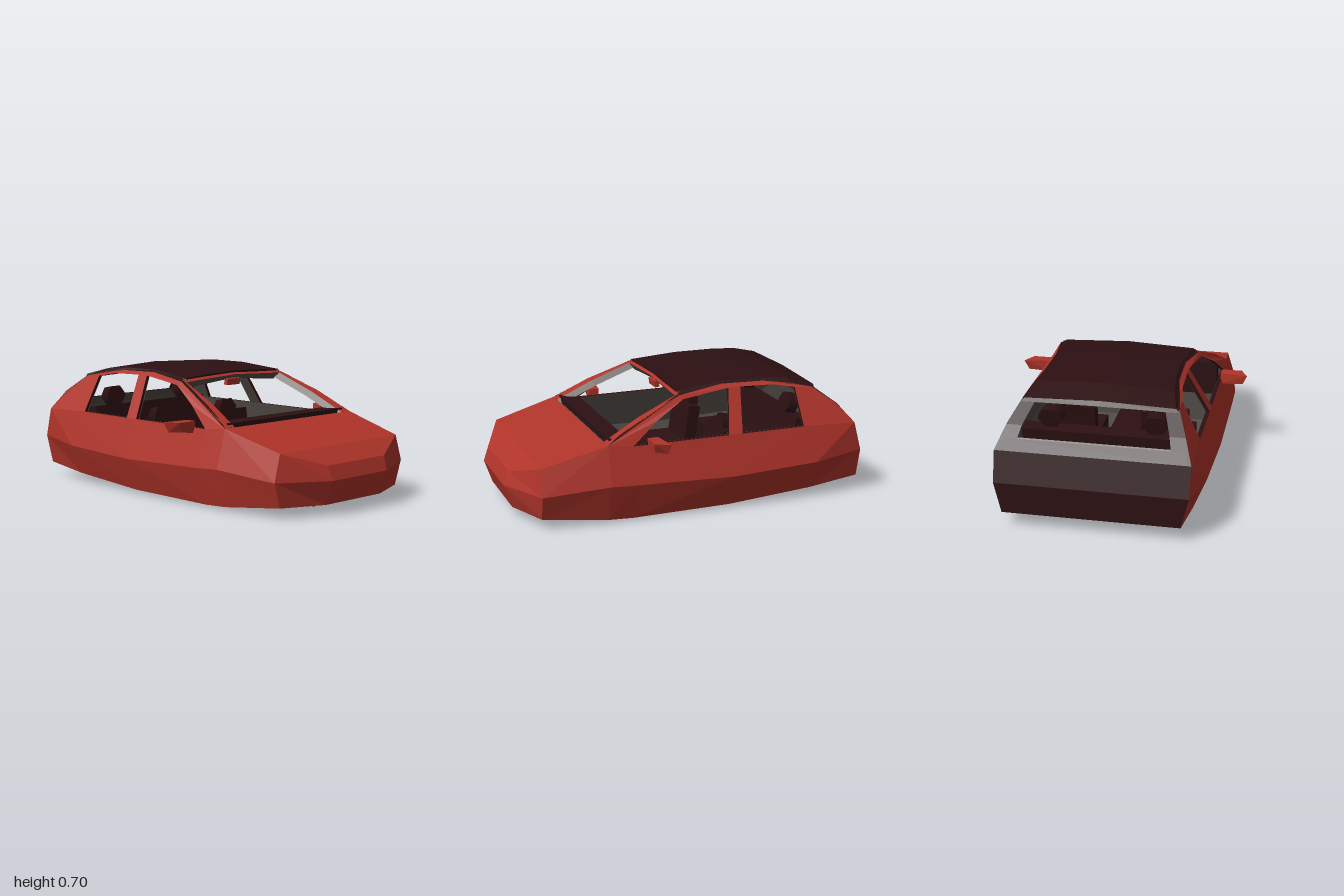
import * as THREE from 'three';
import { ConvexGeometry } from 'three/addons/geometries/ConvexGeometry.js';

const material = (name, color) => {
  const m = new THREE.MeshStandardMaterial({ color, side: THREE.DoubleSide });
  m.name = name;
  return m;
};

// Flat-shaded skin through rows of points; faces point along rows x columns.
function grid(rows) {
  const p = [];
  for (let i = 0; i + 1 < rows.length; i++) {
    for (let j = 0; j + 1 < rows[i].length; j++) {
      const a = rows[i][j], b = rows[i + 1][j], c = rows[i + 1][j + 1], d = rows[i][j + 1];
      p.push(...a, ...b, ...c, ...a, ...c, ...d);
    }
  }
  const g = new THREE.BufferGeometry();
  g.setAttribute('position', new THREE.Float32BufferAttribute(p, 3));
  g.computeVertexNormals();
  return g;
}

// Symmetric row of points, given [x, y, z] from the outside inwards.
const sym = (...pts) => [
  ...pts.map(([x, y, z]) => [-x, y, z]),
  ...pts.filter(p => p[0] > 0).reverse(),
];

// Copy mirrored to the other side, with its triangles turned round.
function mirrored(geo) {
  const g = geo.index ? geo.toNonIndexed() : geo.clone();
  g.scale(-1, 1, 1);
  const index = [];
  for (let i = 0; i < g.attributes.position.count; i += 3) index.push(i, i + 2, i + 1);
  g.setIndex(index);
  return g;
}

// Half width of the body at a height above the crease.
const WIDTH = [[0.2, 0.565], [0.42, 0.51], [0.54, 0.46], [0.64, 0.4], [0.68, 0.35]];
function halfWidth(y) {
  for (let i = 1; i < WIDTH.length; i++) {
    const [y0, x0] = WIDTH[i - 1], [y1, x1] = WIDTH[i];
    if (y <= y1 || i === WIDTH.length - 1) return x0 + (x1 - x0) * (y - y0) / (y1 - y0);
  }
}

export function createModel() {
  const car = new THREE.Group();
  car.name = 'car';
  const red = material('body red', 0xb0342a);
  const dark = material('dark maroon', 0x2c1012);
  const grey = material('lining grey', 0x544d47);

  const add = (name, geo, mat) => {
    const m = new THREE.Mesh(geo, mat);
    m.name = name;
    car.add(m);
    return m;
  };
  const pair = (name, geo, mat) => {
    add('left' + name, geo, mat);
    add('right' + name, mirrored(geo), mat);
  };
  const box = (w, h, d, x, y, z, tilt = 0) =>
    new THREE.BoxGeometry(w, h, d).rotateX(tilt).translate(x, y, z);

  // Lower body: sill, crease and belt at stations from front to rear
  const stations = [
    [[0.47, 0.06, 0.86], [0.515, 0.195, 0.865], [0.47, 0.34, 0.86]],
    [[0.5, 0.02, 0.5], [0.56, 0.225, 0.5], [0.503, 0.435, 0.5]],
    [[0.5, 0.013, 0.36], [0.563, 0.218, 0.36], [0.512, 0.41, 0.36]],
    [[0.5, 0.018, -0.2], [0.568, 0.2, -0.2], [0.512, 0.41, -0.2]],
    [[0.49, 0.05, -0.7], [0.56, 0.22, -0.7], [0.512, 0.41, -0.7]],
    [[0.47, 0.08, -1], [0.51, 0.245, -1], [0.512, 0.41, -0.955]],
  ];
  pair('LowerSide', grid(stations), red);
  pair('DoorLining', grid(stations.slice(1).map(s =>
    s.map(([x, y, z]) => [x - 0.02, y, Math.max(z, -0.985)]))), grey);

  // Bonnet and faceted nose
  add('bonnetAndNose', grid([
    sym([0.503, 0.435, 0.5], [0.22, 0.435, 0.5]),
    sym([0.47, 0.34, 0.86], [0.22, 0.34, 0.86]),
    sym([0.47, 0.34, 0.86], [0.23, 0.265, 0.97]),
    sym([0.515, 0.195, 0.865], [0.22, 0.188, 1]),
    sym([0.47, 0.06, 0.86], [0.22, 0.057, 0.955]),
  ]), red);

  // Floor pan
  add('floorPan', grid([
    sym([0.22, 0.057, 0.955]),
    ...stations.map(s => sym(s[0])),
  ]), grey);

  // Cabin sides with door window openings
  const path = pts => pts.map(([z, y]) => new THREE.Vector2(z, y));
  const side = new THREE.Shape(path([
    [0.36, 0.41], [0.5, 0.435], [0.3, 0.54], [0.06, 0.64], [-0.2, 0.67],
    [-0.45, 0.665], [-0.6, 0.645], [-0.73, 0.615], [-0.86, 0.52], [-0.955, 0.41],
  ]));
  side.holes.push(
    new THREE.Path(path([[0.36, 0.42], [0.21, 0.53], [0.04, 0.62], [-0.235, 0.65], [-0.19, 0.42]])),
    new THREE.Path(path([[-0.27, 0.42], [-0.305, 0.65], [-0.5, 0.645], [-0.625, 0.622], [-0.64, 0.42]])),
  );
  const bend = (geo, inset) => {
    const p = geo.attributes.position;
    for (let i = 0; i < p.count; i++) {
      const z = p.getX(i), y = p.getY(i), w = p.getZ(i);
      p.setXYZ(i, halfWidth(y) - w - inset, y, z);
    }
    geo.computeVertexNormals();
    return geo;
  };
  pair('CabinSide', bend(new THREE.ExtrudeGeometry(side, { depth: 0.02, bevelEnabled: false }), 0), [red, dark]);
  pair('CabinLining', bend(new THREE.ShapeGeometry(side).toNonIndexed(), 0.023), grey);

  // Windscreen pillars, their inner rim and the header
  const pillar = [
    [[0.37, 0.64, 0.06], [0.4, 0.64, 0.06]],
    [[0.4, 0.54, 0.3], [0.46, 0.54, 0.3]],
    [[0.43, 0.437, 0.5], [0.503, 0.435, 0.5]],
  ];
  pair('WindscreenPillar', grid(pillar), red);
  pair('WindscreenRim', grid(pillar.map(([[x, y, z]]) =>
    [[x - 0.025, y - 0.025, z - 0.02], [x, y, z]])), grey);
  add('windscreenHeader', grid([
    sym([0.385, 0.655, 0.05], [0, 0.668, 0.05]),
    sym([0.37, 0.635, 0.075], [0, 0.652, 0.075]),
  ]), red);
  add('headerRim', grid([
    sym([0.37, 0.635, 0.075], [0, 0.652, 0.075]),
    sym([0.345, 0.6, 0.05], [0, 0.628, 0.05]),
  ]), grey);

  // Crowned roof from rear to front: lower edge, top edge, ridge
  const roof = [
    sym([0.41, 0.61, -0.745], [0.4, 0.625, -0.745], [0, 0.637, -0.745]),
    sym([0.395, 0.64, -0.6], [0.365, 0.665, -0.6], [0, 0.681, -0.6]),
    sym([0.365, 0.663, -0.45], [0.35, 0.679, -0.45], [0, 0.693, -0.45]),
    sym([0.362, 0.67, -0.2], [0.345, 0.681, -0.2], [0, 0.696, -0.2]),
    sym([0.39, 0.643, 0.06], [0.365, 0.657, 0.06], [0, 0.673, 0.06]),
  ];
  add('roof', grid(roof), dark);
  add('roofLining', grid(roof.map(r => r.slice(1, 4).map(([x, y, z]) => [x, y - 0.025, z])).reverse()), grey);
  add('roofFrontEdge', grid([
    roof[4].slice(1, 4),
    roof[4].slice(1, 4).map(([x, y, z]) => [x, y - 0.016, z]),
  ]), dark);

  // Tailgate with rear window opening
  const gate = [
    sym([0.47, 0.08, -1]), sym([0.51, 0.245, -1]),
    sym([0.512, 0.41, -0.955]), sym([0.49, 0.462, -0.91]),
  ];
  add('tailgate', grid(gate), dark);
  add('tailgateLining', grid(gate.map(r => r.map(([x, y, z]) => [x * 0.96, y, z + 0.02])).reverse()), grey);
  pair('RearWindowPillar', grid([
    [[0.4, 0.462, -0.91], [0.49, 0.462, -0.91]],
    [[0.385, 0.52, -0.862], [0.468, 0.52, -0.862]],
    [[0.345, 0.605, -0.75], [0.416, 0.605, -0.75]],
  ]), dark);
  add('rearWindowHeader', grid([
    sym([0.416, 0.605, -0.75], [0, 0.61, -0.755]),
    sym([0.4, 0.625, -0.73], [0, 0.637, -0.73]),
  ]), dark);

  // Mirrors
  pair('WingMirror', new ConvexGeometry([
    [0.505, 0.39, 0.22], [0.505, 0.39, 0.275], [0.505, 0.455, 0.22], [0.505, 0.455, 0.28],
    [0.66, 0.455, 0.2], [0.635, 0.4, 0.21], [0.62, 0.455, 0.28], [0.59, 0.4, 0.27],
  ].map(p => new THREE.Vector3(...p))), red);
  add('cabinMirror', box(0.1, 0.036, 0.025, 0, 0.612, 0.055, 0.15), red);

  // Dashboard and centre tunnel
  add('dashboard', box(0.92, 0.2, 0.1, 0, 0.355, 0.43), dark);
  add('firewall', box(0.96, 0.38, 0.01, 0, 0.23, 0.48), grey);
  pair('TunnelWall', box(0.014, 0.18, 0.95, 0.078, 0.09, 0.275), dark);
  add('tunnelRear', box(0.17, 0.18, 0.014, 0, 0.09, -0.193), dark);
  add('tunnelTop', box(0.17, 0.01, 0.95, 0, 0.18, 0.275), dark);

  // Front seats and rear bench
  pair('SeatCushion', box(0.26, 0.1, 0.3, 0.26, 0.15, -0.07), dark);
  pair('SeatBack', box(0.26, 0.24, 0.07, 0.26, 0.28, -0.23, -0.15), dark);
  const headrest = (x, y, z, h) => new THREE.CylinderGeometry(0.07, 0.07, 0.06, 6)
    .rotateY(Math.PI / 2).rotateX(Math.PI / 2).rotateZ(Math.PI)
    .scale(1, h, 1).rotateX(-0.2).translate(x, y, z);
  pair('FrontHeadrest', headrest(0.26, 0.41, -0.265, 0.8), dark);
  add('benchCushion', box(0.86, 0.12, 0.26, 0, 0.17, -0.5), dark);
  add('benchBack', box(0.86, 0.28, 0.08, 0, 0.3, -0.65, -0.15), dark);
  pair('RearHeadrest', headrest(0.28, 0.495, -0.655, 0.85), dark);

  return car;
}
